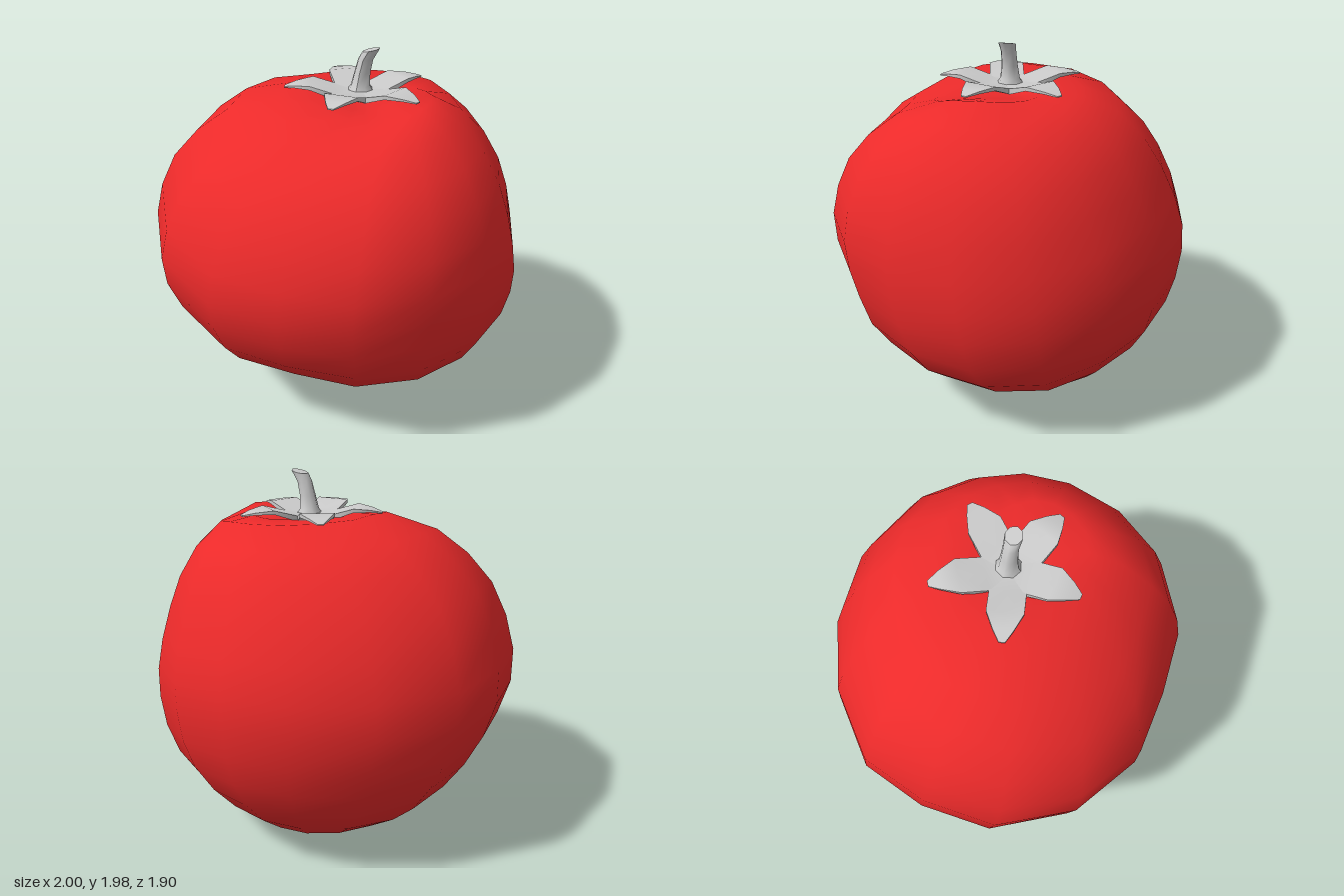
import * as THREE from 'three';

const RED = new THREE.MeshStandardMaterial({ color: 0xec2a2a });
const GREY = new THREE.MeshStandardMaterial({ color: 0xcccccc });

// Body rings, bottom to top: [left x, y, right x, y, back z, y, front z, y]
const RINGS = [
  [-0.29, 0.05, 0.19, 0.03, -0.37, 0.035, 0.12, 0.05],
  [-0.48, 0.14, 0.40, 0.10, -0.56, 0.13, 0.25, 0.12],
  [-0.64, 0.25, 0.58, 0.19, -0.70, 0.25, 0.44, 0.22],
  [-0.77, 0.37, 0.73, 0.28, -0.81, 0.39, 0.60, 0.32],
  [-0.87, 0.52, 0.86, 0.40, -0.89, 0.55, 0.73, 0.43],
  [-0.95, 0.69, 0.95, 0.55, -0.93, 0.71, 0.84, 0.56],
  [-1.00, 0.88, 0.99, 0.72, -0.95, 0.88, 0.91, 0.72],
  [-0.99, 1.06, 1.00, 0.87, -0.94, 1.04, 0.95, 0.88],
  [-0.93, 1.25, 0.98, 1.03, -0.89, 1.20, 0.94, 1.05],
  [-0.84, 1.43, 0.94, 1.20, -0.81, 1.37, 0.88, 1.22],
  [-0.70, 1.58, 0.88, 1.37, -0.72, 1.52, 0.80, 1.38],
  [-0.53, 1.70, 0.79, 1.53, -0.59, 1.66, 0.68, 1.51],
  [-0.25, 1.77, 0.66, 1.67, -0.40, 1.75, 0.51, 1.63],
  [0.00, 1.74, 0.51, 1.765, -0.20, 1.74, 0.32, 1.70],
  [0.05, 1.71, 0.30, 1.72, -0.10, 1.71, 0.15, 1.70],
];

// Lopsided fruit: elliptical rings tilted through four profile points
function bodyGeometry() {
  const { smoothstep } = THREE.MathUtils;
  const sides = 16, pos = [], index = [];
  for (const [lx, ly, rx, ry, bz, by, fz, fy] of RINGS) {
    const half = (rx - lx) / 2, depth = (fz - bz) / 2;
    const cx = (lx + rx) / 2 + 0.05 * half, cz = (bz + fz) / 2;
    const bulge = 0.075 * smoothstep(ly, 0, 0.4);
    const frontRight = 0.03 * smoothstep(Math.abs(ly - 0.95), 0.1, 0.5);
    for (let j = 0; j < sides; j++) {
      const t = (j / sides) * Math.PI * 2, c = Math.cos(t), s = Math.sin(t);
      const diagonal = Math.abs(Math.sin(2 * t));
      // Fuller at the front left, flatter at the back right
      const skew = (s - c) / Math.SQRT2;
      const f = 1 + diagonal * (bulge * (skew > 0 ? skew : skew / 2) + frontRight * Math.max(0, s + c));
      // Squarer corners on the left half
      const corner = c < 0 ? diagonal : 0;
      const x = cx + c * f * (c > 0 ? rx - cx : cx - lx) + 0.09 * s * s * corner * half;
      const z = cz + s * (f + 0.04 * corner) * depth;
      pos.push(x, c * c * (c > 0 ? ry : ly) + s * s * (s > 0 ? fy : by), z);
    }
  }
  const n = RINGS.length, bottom = n * sides, top = bottom + 1;
  pos.push(-0.03, 0.0, -0.17, 0.15, 1.70, 0.01);
  for (let j = 0; j < sides; j++) {
    const k = (j + 1) % sides, last = (n - 1) * sides;
    for (let i = 0; i < n - 1; i++) {
      const a = i * sides + j, b = i * sides + k;
      index.push(a, a + sides, b, b, a + sides, b + sides);
    }
    index.push(bottom, j, k, top, last + k, last + j);
  }
  const g = new THREE.BufferGeometry();
  g.setAttribute('position', new THREE.Float32BufferAttribute(pos, 3));
  g.setIndex(index);
  g.computeVertexNormals();
  return g;
}

// Leaf stations: [distance out, half width, height, thickness]
const LEAF = [
  [0.00, 0.02, 1.745, 0.03],
  [0.11, 0.09, 1.745, 0.03],
  [0.23, 0.09, 1.787, 0.02],
  [0.31, 0.05, 1.78, 0.012],
  [0.365, 0.015, 1.768, 0.006],
];

function leafGeometry(stretch) {
  const g = new THREE.BoxGeometry(2, 1, LEAF.length - 1, 2, 1, LEAF.length - 1);
  const p = g.attributes.position;
  for (let i = 0; i < p.count; i++) {
    const station = Math.round(p.getZ(i) + (LEAF.length - 1) / 2);
    const [out, half, y, thick] = LEAF[station];
    p.setXYZ(i, p.getX(i) * half, y + p.getY(i) * thick, out * stretch);
  }
  g.computeVertexNormals();
  return g;
}

// Stem stations: [x, height, radius]
const STEM = [
  [0.11, 1.74, 0.08],
  [0.11, 1.78, 0.052],
  [0.12, 1.85, 0.043],
  [0.137, 1.92, 0.04],
  [0.167, 1.97, 0.045],
];

function stemGeometry() {
  const segs = STEM.length - 1;
  const g = new THREE.CylinderGeometry(1, 1, segs, 8, segs);
  const p = g.attributes.position;
  for (let i = 0; i < p.count; i++) {
    const level = Math.round(p.getY(i) + segs / 2);
    const [x, y, r] = STEM[level];
    const tilt = level === segs ? 0.01 * p.getX(i) : 0;
    p.setXYZ(i, x + p.getX(i) * r, y + tilt, -0.01 + p.getZ(i) * r);
  }
  g.computeVertexNormals();
  return g;
}

export function createModel() {
  const model = new THREE.Group();
  model.name = 'tomato';

  const body = new THREE.Mesh(bodyGeometry(), RED);
  body.name = 'fruitBody';
  model.add(body);

  // Five-pointed calyx, one leaf facing the front
  const calyx = new THREE.Group();
  calyx.name = 'calyx';
  calyx.position.set(0.1, 0, 0.005);
  [1, 1.04, 1.1, 1.1, 1.04].forEach((stretch, i) => {
    const leaf = new THREE.Mesh(leafGeometry(stretch), GREY);
    leaf.name = 'leaf' + (i + 1);
    leaf.rotation.y = (i * Math.PI * 2) / 5;
    calyx.add(leaf);
  });
  model.add(calyx);

  const stem = new THREE.Mesh(stemGeometry(), GREY);
  stem.name = 'stem';
  model.add(stem);

  return model;
}
